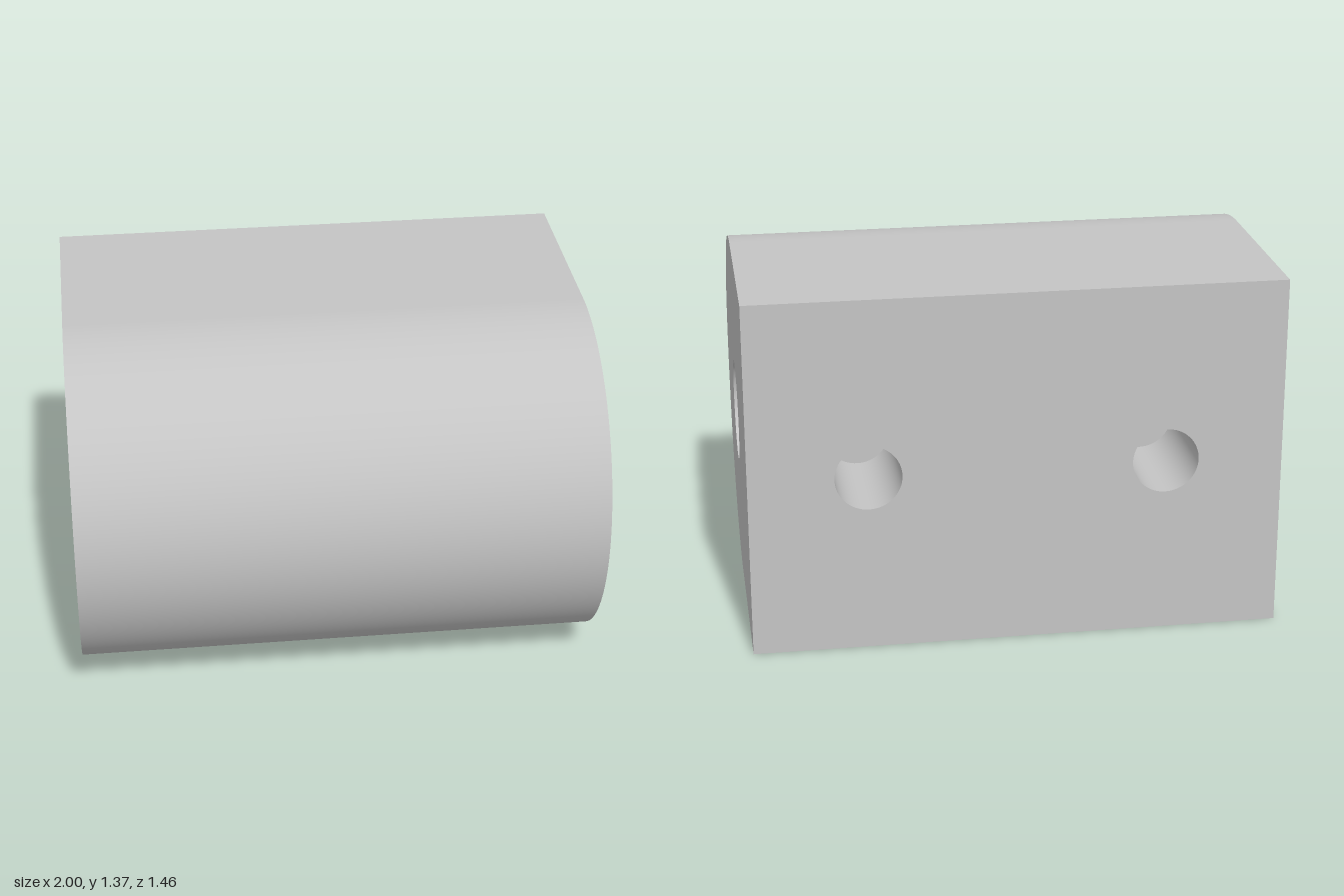
import * as THREE from 'three';

const HALF = 1;            // half length along x
const R = 0.685;           // radius of the rounded front
const BACK = -0.73;        // z of the flat back
const CZ = 0.045;          // z of the bore axis
const BORE = 0.195;
const SCREW = 0.125, SCREW_X = 0.556, SCREW_DEPTH = 0.45;

export function createModel() {
  const group = new THREE.Group();
  const grey = new THREE.MeshStandardMaterial({ color: 0xc4c4c4 });
  grey.name = 'plain grey';

  const add = (name, geometry, x = 0, y = R, z = 0) => {
    const mesh = new THREE.Mesh(geometry, grey);
    mesh.name = name;
    mesh.position.set(x, y, z);
    group.add(mesh);
  };

  // Inward-facing wall of a round hole, running along y from 0 to -depth
  const holeWall = (radius, depth) => new THREE.LatheGeometry(
    [new THREE.Vector2(radius, 0), new THREE.Vector2(radius, -depth)], 64);

  const circleHole = (x, y, radius) => new THREE.Path().absarc(x, y, radius, 0, Math.PI * 2, true);

  // Rounded front
  add('roundedFront', new THREE.CylinderGeometry(R, R, 2 * HALF, 96, 1, true, -Math.PI / 2, Math.PI)
    .rotateZ(Math.PI / 2), 0, R, CZ);

  // Flat top and bottom
  const depth = CZ - BACK;
  for (const s of [1, -1]) {
    add(s > 0 ? 'topFace' : 'bottomFace',
      new THREE.PlaneGeometry(2 * HALF, depth).rotateX(-s * Math.PI / 2),
      0, R + s * R, (CZ + BACK) / 2);
  }

  // D-shaped end faces, pierced by the bore
  for (const s of [1, -1]) {
    const shape = new THREE.Shape();
    shape.moveTo(-s * BACK, -R);
    shape.lineTo(-s * CZ, -R);
    shape.absarc(-s * CZ, 0, R, -Math.PI / 2, Math.PI / 2, s > 0);
    shape.lineTo(-s * BACK, R);
    shape.closePath();
    shape.holes.push(circleHole(-s * CZ, 0, BORE));
    add(s > 0 ? 'leftEnd' : 'rightEnd',
      new THREE.ShapeGeometry(shape, 48).rotateY(s * Math.PI / 2), s * HALF);
  }

  // Bore through the whole length
  add('bore', holeWall(BORE, 2 * HALF).rotateZ(-Math.PI / 2), HALF, R, CZ);

  // Back face with two screw holes
  const back = new THREE.Shape([[-HALF, -R], [HALF, -R], [HALF, R], [-HALF, R]]
    .map(([x, y]) => new THREE.Vector2(x, y)));
  for (const s of [1, -1]) back.holes.push(circleHole(s * SCREW_X, 0, SCREW));
  add('backFace', new THREE.ShapeGeometry(back, 32).rotateY(Math.PI), 0, R, BACK);

  // Blind screw holes
  for (const s of [1, -1]) {
    add('screwHole', holeWall(SCREW, SCREW_DEPTH).rotateX(-Math.PI / 2), s * SCREW_X, R, BACK);
    add('screwHoleFloor', new THREE.CircleGeometry(SCREW, 64).rotateY(Math.PI),
      s * SCREW_X, R, BACK + SCREW_DEPTH);
  }

  return group;
}
